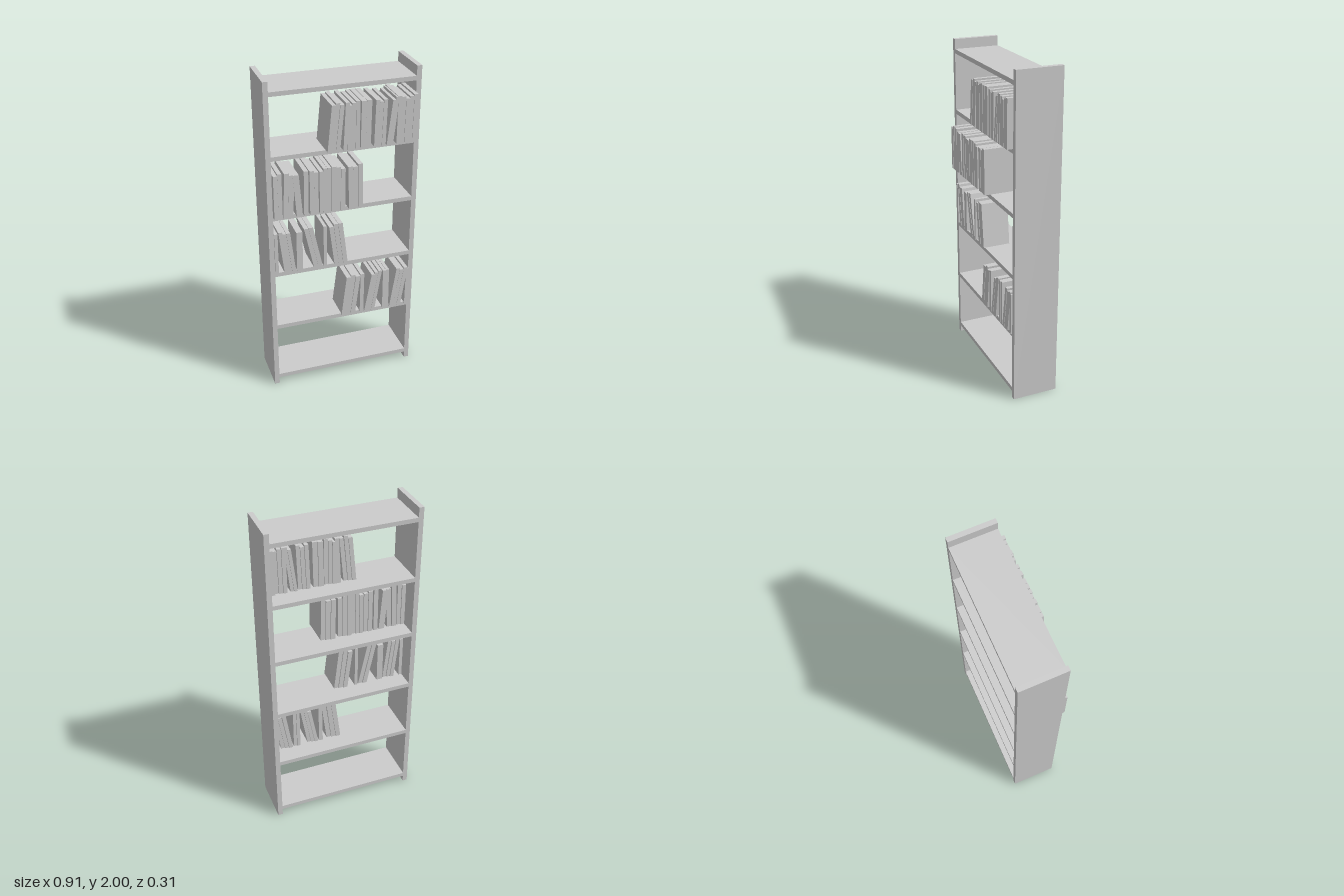
import * as THREE from 'three';

const material = new THREE.MeshStandardMaterial({ color: 0xcccccc });

const BACK = -0.157, FRONT = 0.122;

function board(name, w, h, x, y) {
  const mesh = new THREE.Mesh(new THREE.BoxGeometry(w, h, FRONT - BACK), material);
  mesh.name = name;
  mesh.position.set(x, y, (FRONT + BACK) / 2);
  return mesh;
}

// A book is a box sheared sideways so that its top leans by the given amount.
function book(x, width, height, lean, base, back, front) {
  const geo = new THREE.BoxGeometry(width, height, front - back);
  const shear = lean / height;
  geo.translate(x + width / 2, height / 2, (front + back) / 2);
  geo.applyMatrix4(new THREE.Matrix4().makeShear(0, 0, shear, 0, 0, 0));
  geo.computeVertexNormals();
  const mesh = new THREE.Mesh(geo, material);
  mesh.name = 'book';
  mesh.position.y = base;
  return mesh;
}

// A row of books from stacks of [left end, width, lean], each divided into single volumes.
function bookRow(name, base, height, front, stacks) {
  const row = new THREE.Group();
  row.name = name;
  stacks.forEach(([start, width, lean], s) => {
    const count = Math.max(1, Math.round(width / 0.026));
    const pitch = width / count;
    for (let i = 0; i < count; i++) {
      const h = height + 0.01 * Math.sin(s * 2.3 + i * 1.7);
      row.add(book(start + i * pitch, pitch * 0.97, h, lean, base,
        -0.05 + (i % 3) * 0.006, front - (i % 2) * 0.002));
    }
  });
  return row;
}

export function createModel() {
  const model = new THREE.Group();
  model.name = 'bookcase';

  // Side panels
  for (const s of [-1, 1]) {
    model.add(board(s > 0 ? 'leftPanel' : 'rightPanel', 0.03, 2, s * 0.44, 1));
  }
  // Shelves
  for (const y of [0.056, 0.431, 0.806, 1.181, 1.553, 1.928]) {
    model.add(board('shelf', 0.85, 0.026, 0, y));
  }

  // Books
  model.add(bookRow('topShelfBooks', 1.566, 0.272, 0.157, [
    [-0.108, 0.074, 0.026], [-0.015, 0.024, 0.013], [0.011, 0.071, 0.001], [0.087, 0.062, 0.004],
    [0.167, 0.07, 0.008], [0.243, 0.04, 0.032], [0.302, 0.12, 0.004]]));
  model.add(bookRow('upperShelfBooks', 1.194, 0.27, 0.157, [
    [-0.425, 0.05, 0], [-0.373, 0.06, 0.012], [-0.293, 0.037, -0.02], [-0.25, 0.027, 0.002],
    [-0.214, 0.053, 0], [-0.156, 0.07, 0], [-0.084, 0.082, 0.002], [0.02, 0.088, -0.005]]));
  model.add(bookRow('middleShelfBooks', 0.819, 0.265, 0.131, [
    [-0.425, 0.021, 0], [-0.37, 0.071, -0.03], [-0.293, 0.038, 0],
    [-0.188, 0.056, -0.058], [-0.127, 0.02, 0], [-0.06, 0.084, -0.032]]));
  model.add(bookRow('lowerShelfBooks', 0.436, 0.268, 0.131, [
    [-0.015, 0.09, 0.033], [0.105, 0.025, 0.003], [0.135, 0.068, 0.046],
    [0.255, 0.042, 0], [0.303, 0.075, 0.042], [0.405, 0.02, 0.004]]));
  return model;
}
